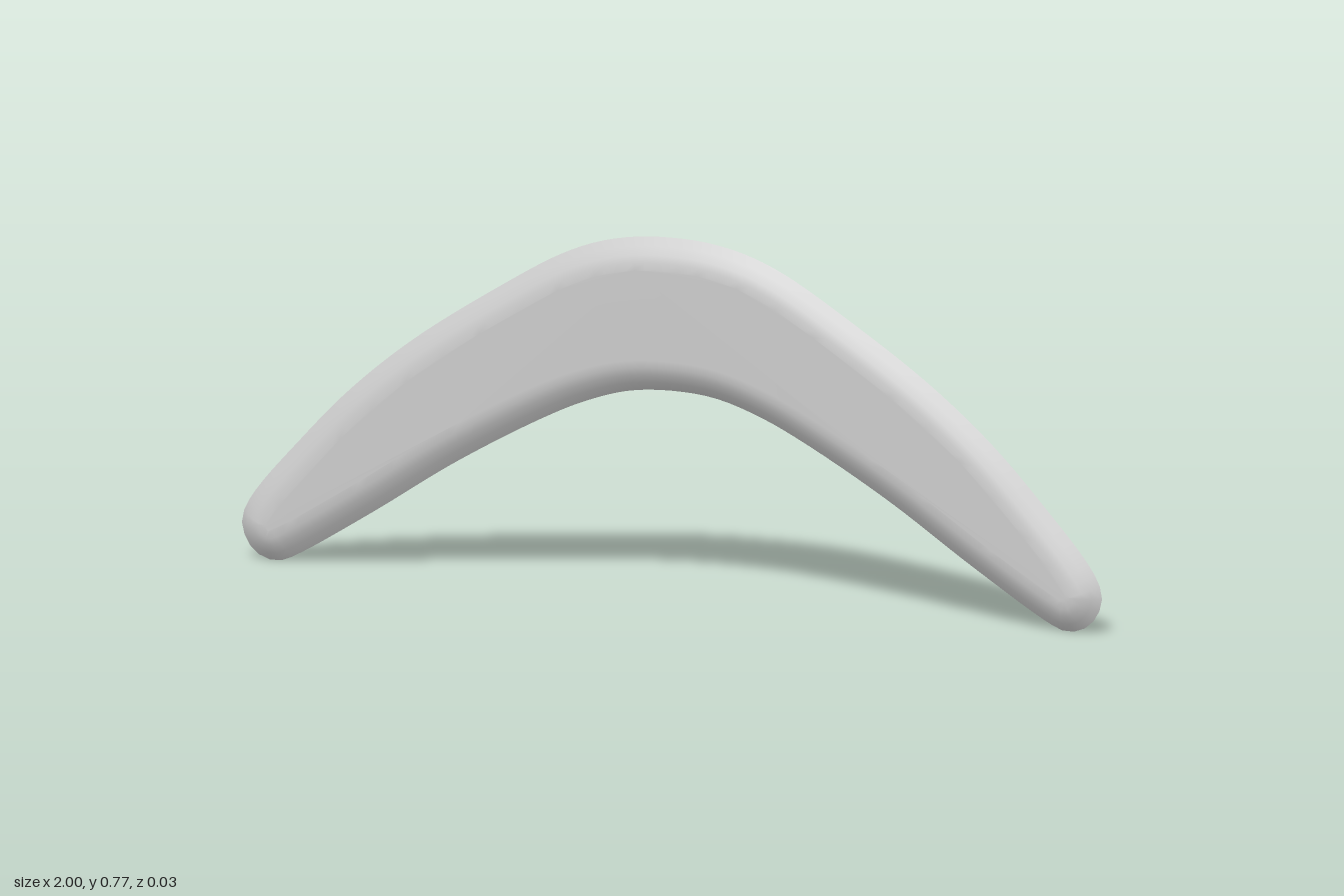
import * as THREE from 'three';

export function createModel() {
  const group = new THREE.Group();
  group.name = 'boomerang';
  const grey = new THREE.MeshStandardMaterial({ color: 0xcccccc, side: THREE.DoubleSide });
  grey.name = 'light grey';

  // Half outline, from the top of the bend round the tip to the inside of the bend
  const half = [
    [0, 0.772], [0.08, 0.768], [0.17, 0.75], [0.26, 0.715], [0.4, 0.635], [0.6, 0.505],
    [0.75, 0.383], [0.88, 0.25], [0.96, 0.16], [0.99, 0.115], [1, 0.08], [0.985, 0.035],
    [0.95, 0.007], [0.91, 0.003], [0.87, 0.02], [0.7, 0.122], [0.5, 0.25], [0.3, 0.36],
    [0.2, 0.405], [0.1, 0.435], [0, 0.443],
  ];
  const mirrored = half.slice(1, -1).reverse().map(([x, y]) => [-x, y]);
  const outline = new THREE.CatmullRomCurve3(
    [...half, ...mirrored].map(([x, y]) => new THREE.Vector3(x, y, 0)), true);

  // Rounded edge: rings of [inset from the outline, z]
  const rings = [[0, -0.016], [0.018, -0.002], [0.036, 0.009], [0.052, 0.0145], [0.068, 0.016]];
  const n = 180;
  const positions = [];
  const indices = [];
  const face = [];
  rings.forEach(([inset, z], r) => {
    for (let i = 0; i < n; i++) {
      const p = outline.getPointAt(i / n);
      const t = outline.getTangentAt(i / n);
      const x = p.x + t.y * inset;
      const y = p.y - t.x * inset;
      positions.push(x, y, z);
      if (r === rings.length - 1) {
        face.push(new THREE.Vector2(x, y));
        continue;
      }
      const a = r * n + i;
      const b = r * n + (i + 1) % n;
      indices.push(a, a + n, b, b, a + n, b + n);
    }
  });

  // Flat front face inside the last ring
  const last = (rings.length - 1) * n;
  for (const tri of THREE.ShapeUtils.triangulateShape(face.reverse(), [])) {
    indices.push(...tri.map((i) => last + n - 1 - i));
  }

  // Open-backed shell
  const geometry = new THREE.BufferGeometry();
  geometry.setAttribute('position', new THREE.Float32BufferAttribute(positions, 3));
  geometry.setIndex(indices);
  geometry.computeVertexNormals();
  const shell = new THREE.Mesh(geometry, grey);
  shell.name = 'curvedShell';
  group.add(shell);
  return group;
}
